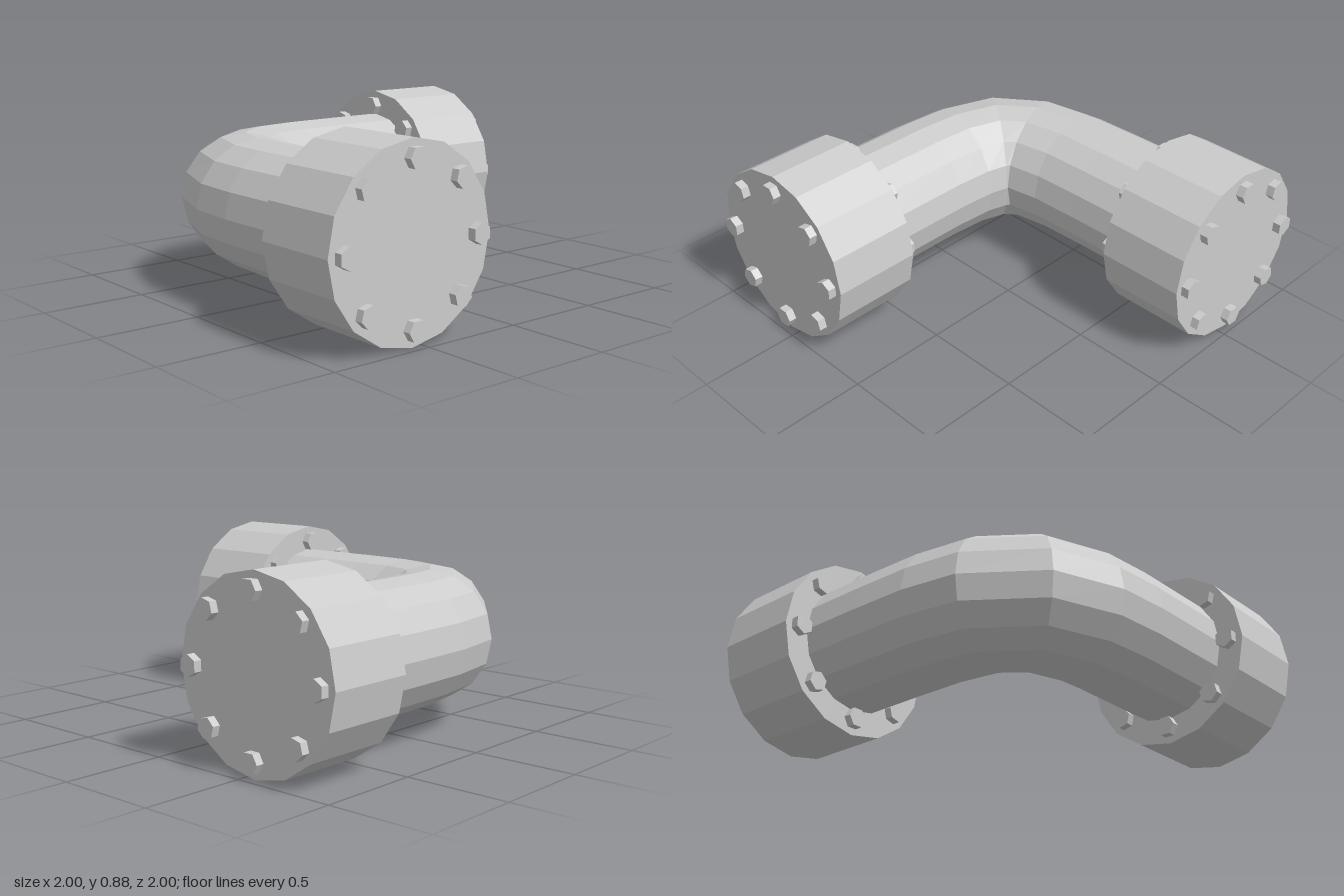
import * as THREE from 'three';

const AXIS_Y = 0.44;
const material = new THREE.MeshStandardMaterial({ color: 0xcccccc, flatShading: true });

// Bent pipe: 16-sided rings [x, z, heading in degrees] swept round the corner
function makePipe(radius = 0.315, sides = 16) {
  const rings = [
    [-0.56, 0.6, 0], [-0.557, 0.06, 2], [-0.54, -0.165, 10], [-0.465, -0.38, 35],
    [-0.295, -0.51, 74], [-0.07, -0.549, 85], [0.2, -0.557, 89], [0.6, -0.56, 90],
  ];
  const positions = [], index = [];
  rings.forEach(([x, z, heading], i) => {
    const a = THREE.MathUtils.degToRad(heading);
    for (let j = 0; j < sides; j++) {
      const t = (j / sides) * Math.PI * 2;
      const out = radius * Math.cos(t);
      positions.push(x - out * Math.cos(a), AXIS_Y + radius * Math.sin(t), z - out * Math.sin(a));
      if (i === rings.length - 1) continue;
      const k = (j + 1) % sides, p = i * sides, q = p + sides;
      index.push(p + j, p + k, q + j, p + k, q + k, q + j);
    }
  });
  const geometry = new THREE.BufferGeometry();
  geometry.setAttribute('position', new THREE.Float32BufferAttribute(positions, 3));
  geometry.setIndex(index);
  geometry.computeVertexNormals();
  const pipe = new THREE.Mesh(geometry, material);
  pipe.name = 'bentPipe';
  return pipe;
}

// Flange along local z with a circle of hexagonal bolts passing through it
function makeFlange(name) {
  const group = new THREE.Group();
  group.name = name;
  const collar = new THREE.Mesh(new THREE.CylinderGeometry(0.44, 0.44, 0.44, 16).rotateX(Math.PI / 2), material);
  collar.name = 'collar';
  group.add(collar);

  const boltGeometry = new THREE.CylinderGeometry(0.05, 0.05, 0.52, 6).rotateX(Math.PI / 2);
  for (let i = 0; i < 8; i++) {
    const a = (i / 8) * Math.PI * 2;
    const bolt = new THREE.Mesh(boltGeometry, material);
    bolt.name = 'bolt';
    bolt.position.set(0.36 * Math.cos(a), 0.36 * Math.sin(a), 0);
    bolt.rotation.z = a;
    group.add(bolt);
  }
  return group;
}

export function createModel() {
  const model = new THREE.Group();
  model.name = 'pipeElbow';
  model.add(makePipe());

  const frontFlange = makeFlange('frontFlange');
  frontFlange.position.set(-0.56, AXIS_Y, 0.74);

  const leftFlange = makeFlange('leftFlange');
  leftFlange.position.set(0.74, AXIS_Y, -0.56);
  leftFlange.rotation.y = Math.PI / 2;

  model.add(frontFlange, leftFlange);
  return model;
}
